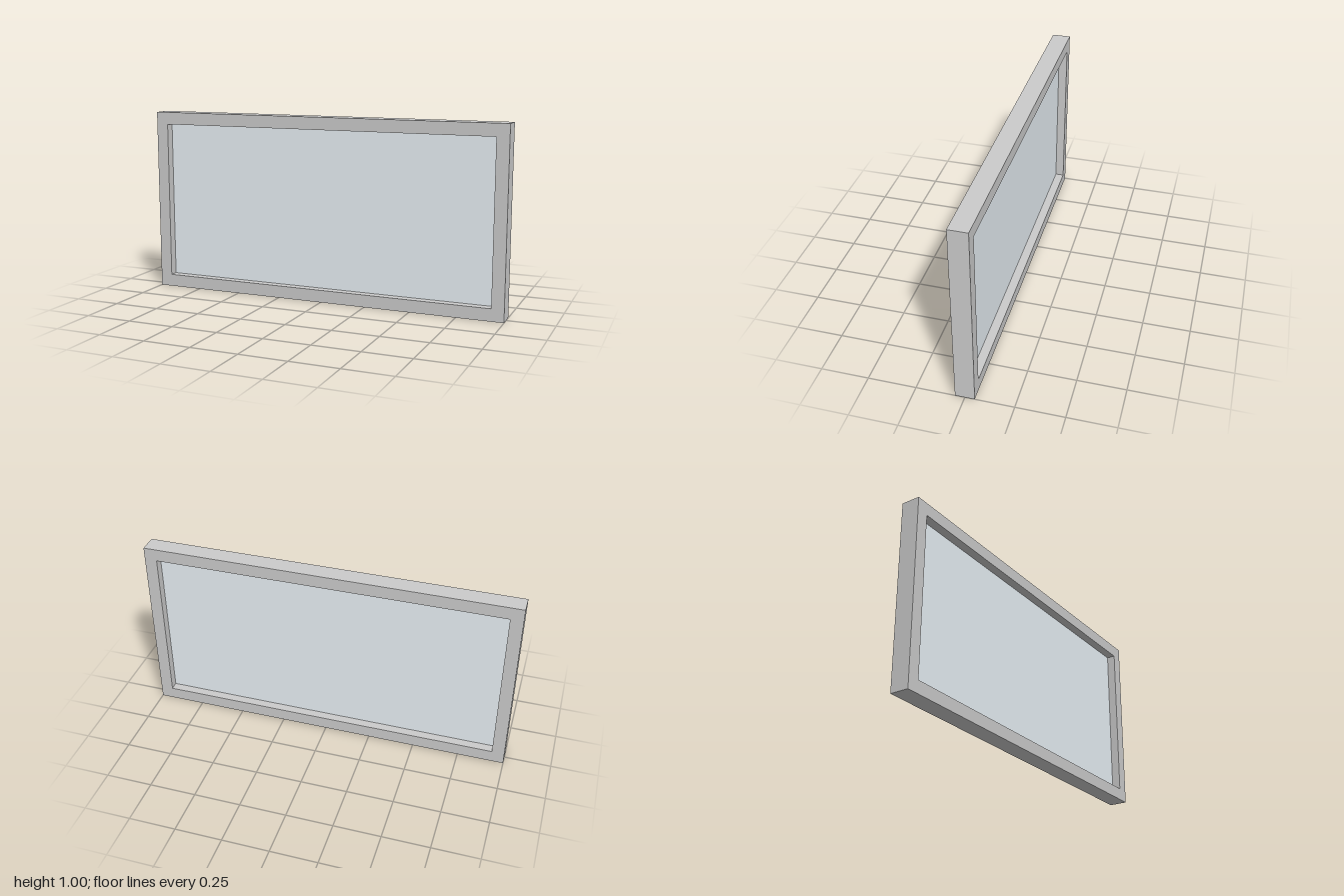
import * as THREE from 'three';

const WIDTH = 2, HEIGHT = 1, DEPTH = 0.1, BORDER = 0.067, PANE_DEPTH = 0.006;

// Closed rectangle centred on x = 0, standing on y = 0, shrunk by an inset
function rectangle(PathType, inset) {
  const x = WIDTH / 2 - inset, top = HEIGHT - inset;
  return new PathType([[-x, inset], [x, inset], [x, top], [-x, top]].map(([a, b]) => new THREE.Vector2(a, b)));
}

export function createModel() {
  const model = new THREE.Group();
  model.name = 'framedWindow';

  // Frame: one solid rectangular ring
  const outline = rectangle(THREE.Shape, 0);
  outline.holes.push(rectangle(THREE.Path, BORDER));
  const frameGeometry = new THREE.ExtrudeGeometry(outline, { depth: DEPTH, bevelEnabled: false });
  frameGeometry.translate(0, 0, -DEPTH / 2);
  const frame = new THREE.Mesh(frameGeometry, new THREE.MeshStandardMaterial({ color: 0xcccccc }));
  frame.name = 'frame';
  model.add(frame);

  // Pane: thin sheet in the middle of the frame's depth
  const pane = new THREE.Mesh(
    new THREE.BoxGeometry(WIDTH - 2 * BORDER, HEIGHT - 2 * BORDER, PANE_DEPTH),
    new THREE.MeshStandardMaterial({ color: 0xe8f0f5 })
  );
  pane.name = 'glassPane';
  pane.position.y = HEIGHT / 2;
  model.add(pane);

  return model;
}
